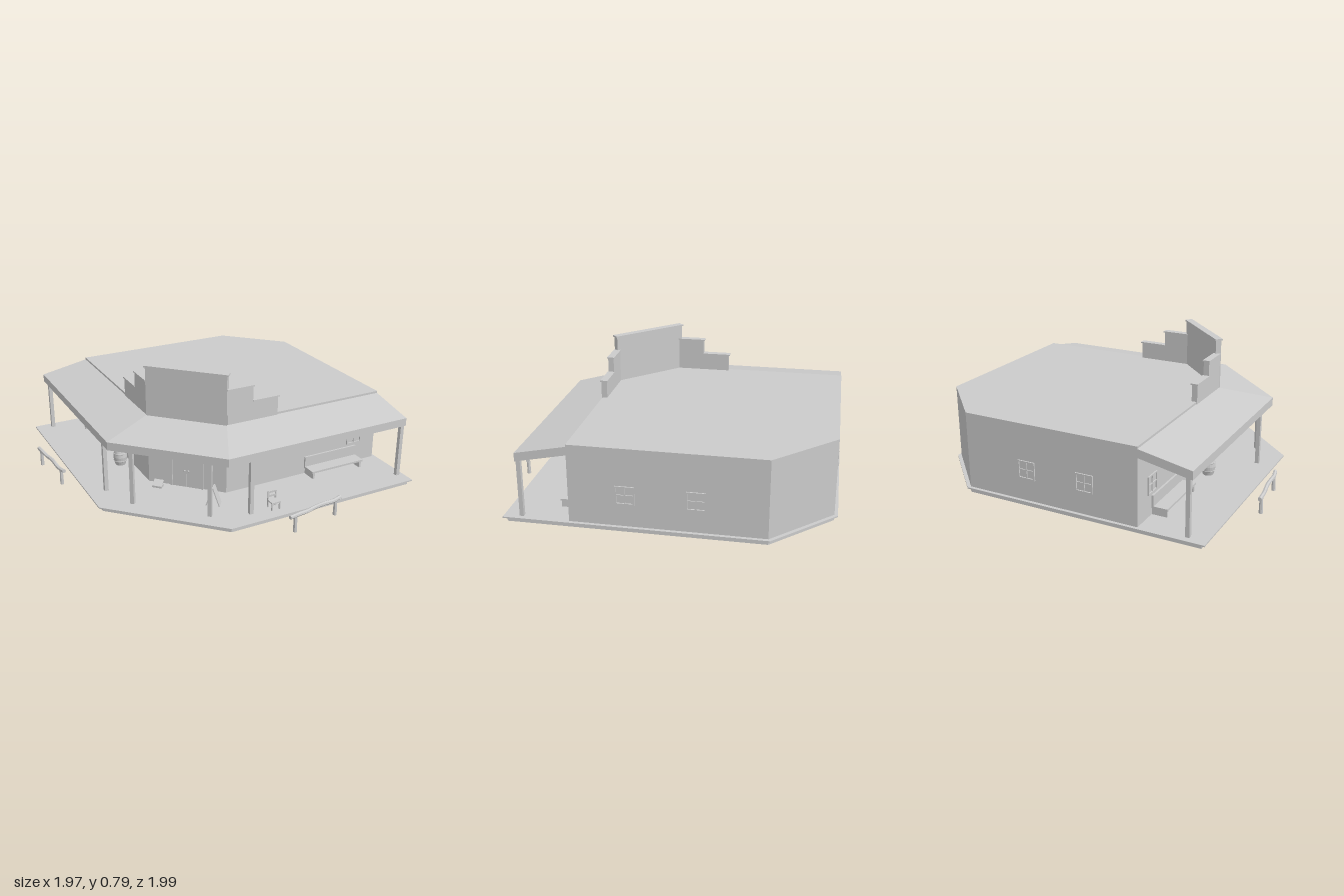
import * as THREE from 'three';

const mat = new THREE.MeshStandardMaterial({ color: 0xcccccc, flatShading: true });
const smooth = new THREE.MeshStandardMaterial({ color: 0xcccccc });

function add(parent, name, geo, x = 0, y = 0, z = 0, material = mat) {
  const m = new THREE.Mesh(geo, material);
  m.name = name;
  m.position.set(x, y, z);
  parent.add(m);
  return m;
}

const box = (parent, name, w, h, d, x, y, z) =>
  add(parent, name, new THREE.BoxGeometry(w, h, d), x, y, z);

function group(parent, name, x = 0, y = 0, z = 0, ry = 0) {
  const g = new THREE.Group();
  g.name = name;
  g.position.set(x, y, z);
  g.rotation.y = ry;
  parent.add(g);
  return g;
}

// Vertical prism over a plan outline given as [x, z]
function prism(parent, name, plan, y0, y1) {
  const shape = new THREE.Shape(plan.map(([x, z]) => new THREE.Vector2(x, -z)));
  const geo = new THREE.ExtrudeGeometry(shape, { depth: y1 - y0, bevelEnabled: false });
  geo.rotateX(-Math.PI / 2);
  return add(parent, name, geo, 0, y0, 0);
}

// Lean-to roof: one four-cornered section per station, joined in a loop
function porchRoof(parent) {
  const outer = [[-0.78, -0.98], [-0.78, 0.245], [-0.265, 0.755], [0.96, 0.755]];
  const inner = [[-0.47, -0.98], [-0.47, 0.11], [-0.12, 0.46], [0.96, 0.46]];
  const rings = outer.map(([ox, oz], i) => {
    const [ix, iz] = inner[i];
    return [[ox, 0.37, oz], [ox, 0.42, oz], [ix, 0.48, iz], [ix, 0.43, iz]];
  });
  const pos = [];
  const quad = (a, b, c, d) => pos.push(...a, ...b, ...c, ...a, ...c, ...d);
  for (let s = 0; s < 3; s++) {
    for (let k = 0; k < 4; k++) {
      const n = (k + 1) % 4;
      quad(rings[s][k], rings[s + 1][k], rings[s + 1][n], rings[s][n]);
    }
  }
  quad(...rings[0]);
  quad(...[...rings[3]].reverse());
  const geo = new THREE.BufferGeometry();
  geo.setAttribute('position', new THREE.Float32BufferAttribute(pos, 3));
  geo.computeVertexNormals();
  add(parent, 'porchRoof', geo);
}

// Window frame with crossed bars, facing local +z
function windowFrame(parent, x, z, ry) {
  const g = group(parent, 'window', x, 0.22, z, ry);
  for (const s of [-1, 1]) {
    box(g, 'windowSide', 0.008, 0.108, 0.012, s * 0.05, 0, 0);
    box(g, 'windowRail', 0.108, 0.008, 0.012, 0, s * 0.05, 0);
  }
  box(g, 'windowMullion', 0.006, 0.1, 0.008, 0, 0, 0);
  box(g, 'windowBar', 0.1, 0.006, 0.008, 0, 0, 0);
}

// Bench against a wall, facing local +z
function bench(parent, x, z) {
  const g = group(parent, 'bench', x, 0.03, z);
  box(g, 'benchSeat', 0.38, 0.012, 0.095, 0, 0.05, 0);
  box(g, 'benchBack', 0.38, 0.065, 0.012, 0, 0.088, -0.042);
  for (const s of [-1, 1]) {
    box(g, 'benchLeg', 0.014, 0.046, 0.085, s * 0.175, 0.023, 0);
    box(g, 'benchBackPost', 0.014, 0.1, 0.012, s * 0.175, 0.05, -0.042);
  }
}

function chair(parent, x, z) {
  const g = group(parent, 'chair', x, 0.03, z);
  box(g, 'chairSeat', 0.06, 0.008, 0.055, 0, 0.05, 0);
  for (const s of [-1, 1]) {
    box(g, 'chairFrontLeg', 0.008, 0.048, 0.008, s * 0.025, 0.024, 0.022);
    box(g, 'chairBackLeg', 0.008, 0.105, 0.008, s * 0.025, 0.052, -0.025);
  }
  for (const y of [0.075, 0.1]) box(g, 'chairSlat', 0.05, 0.012, 0.006, 0, y, -0.025);
}

// Rough log rail on two posts, running along local x
function hitchingRail(parent, x, z, ry) {
  const g = group(parent, 'hitchingRail', x, 0, z, ry);
  const pts = [0, 1, 2, 3, 4, 5, 6].map(i => new THREE.Vector3(
    -0.195 + i * 0.065, 0.102 + 0.004 * Math.sin(i * 2.1), 0.004 * Math.sin(i * 1.7)));
  add(g, 'railLog', new THREE.TubeGeometry(new THREE.CatmullRomCurve3(pts), 18, 0.012, 7));
  for (const s of [-1, 1]) {
    add(g, 'railPost', new THREE.CylinderGeometry(0.01, 0.012, 0.1, 7), s * 0.155, 0.05, 0);
    add(g, 'railEnd', new THREE.CircleGeometry(0.012, 7), s * 0.195, pts[s < 0 ? 0 : 6].y, pts[s < 0 ? 0 : 6].z)
      .rotation.y = s * Math.PI / 2;
  }
}

// One wing of the front: stepped parapet, posts, bench and window
function wing(parent, name) {
  const g = group(parent, name);
  [[-0.035, 0.17, 0.695], [0.135, 0.17, 0.6]].forEach(([x, w, top]) => {
    box(g, 'parapetStep', w, top - 0.47, 0.035, x, (top + 0.47) / 2, 0.4475);
    box(g, 'parapetCap', w + 0.008, 0.008, 0.045, x + 0.004, top, 0.4475);
  });
  for (const x of [-0.11, 0.94]) box(g, 'porchPost', 0.024, 0.35, 0.024, x, 0.205, 0.738);
  // the post before the diagonal, turned to face it
  box(g, 'porchPost', 0.024, 0.35, 0.024, -0.33, 0.205, 0.655).rotation.y = -Math.PI / 4;
  bench(g, 0.62, 0.51);
  windowFrame(g, 0.8, 0.462, 0);
  return g;
}

export function createModel() {
  const model = new THREE.Group();
  model.name = 'cornerBuilding';

  // Boardwalk base with a thin overhanging deck
  prism(model, 'base', [[-0.835, -0.98], [0.62, -0.98], [0.96, -0.64], [0.96, 0.82],
    [-0.28, 0.82], [-0.835, 0.27]], 0, 0.026);
  prism(model, 'deck', [[-0.86, -1], [0.63, -1], [0.98, -0.65], [0.98, 0.84],
    [-0.29, 0.84], [-0.86, 0.28]], 0.026, 0.034);

  prism(model, 'walls', [[-0.47, -0.98], [0.62, -0.98], [0.96, -0.64], [0.96, 0.46],
    [-0.12, 0.46], [-0.47, 0.11]], 0.034, 0.493);
  porchRoof(model);

  // The west wing is the south wing reflected across the corner diagonal
  wing(model, 'southWing');
  const west = wing(model, 'westWing');
  west.scale.x = -1;
  west.rotation.y = -Math.PI / 2;
  west.position.set(-0.01, 0, -0.01);

  // Diagonal corner: false front, door and its frame
  const corner = group(model, 'cornerFront', -0.295, 0, 0.285, -Math.PI / 4);
  box(corner, 'falseFront', 0.5, 0.32, 0.035, 0, 0.63, -0.008);
  box(corner, 'falseFrontCap', 0.515, 0.01, 0.047, 0, 0.787, -0.008);
  for (const s of [-1, 1]) {
    box(corner, 'doorLeaf', 0.088, 0.235, 0.008, s * 0.046, 0.152, 0.002);
    box(corner, 'doorJamb', 0.012, 0.245, 0.014, s * 0.098, 0.157, 0.004);
    add(corner, 'doorKnob', new THREE.SphereGeometry(0.006, 10, 8), s * 0.012, 0.145, 0.01, smooth);
  }
  box(corner, 'doorLintel', 0.208, 0.012, 0.014, 0, 0.276, 0.004);

  // Windows on the east and back walls
  for (const z of [-0.25, 0.14]) windowFrame(model, 0.962, z, Math.PI / 2);
  for (const x of [-0.15, 0.22]) windowFrame(model, x, -0.982, Math.PI);

  // Folding board sign beside the door
  const sign = group(model, 'boardSign', -0.25, 0.034, 0.545, 0.9);
  for (const s of [-1, 1]) {
    box(sign, 'signBoard', 0.06, 0.12, 0.006, 0, 0.058, s * 0.02).rotation.x = -s * 0.33;
  }

  chair(model, 0.04, 0.745);

  // Barrel with hoops
  const barrel = group(model, 'barrel', -0.54, 0.034, -0.19);
  const profile = [[0, 0], [0.032, 0], [0.041, 0.03], [0.044, 0.055], [0.041, 0.08],
    [0.033, 0.106], [0.028, 0.106], [0.028, 0.1], [0, 0.1]];
  add(barrel, 'barrelBody', new THREE.LatheGeometry(profile.map(p => new THREE.Vector2(...p)), 20));
  for (const y of [0.03, 0.08]) {
    add(barrel, 'barrelHoop', new THREE.TorusGeometry(0.041, 0.003, 6, 20), 0, y, 0, smooth)
      .rotation.x = Math.PI / 2;
  }

  // Small tilted crate lid by the door
  const crate = group(model, 'crate', -0.45, 0.034, 0.2, -Math.PI / 4);
  box(crate, 'crateBody', 0.06, 0.012, 0.045, 0, 0.006, 0);
  box(crate, 'crateLid', 0.06, 0.006, 0.05, 0, 0.022, 0).rotation.x = 0.6;

  hitchingRail(model, 0.192, 0.947, 0.17);
  hitchingRail(model, -0.957, -0.315, -Math.PI / 2 + 0.09 + 0.01);
  return model;
}
